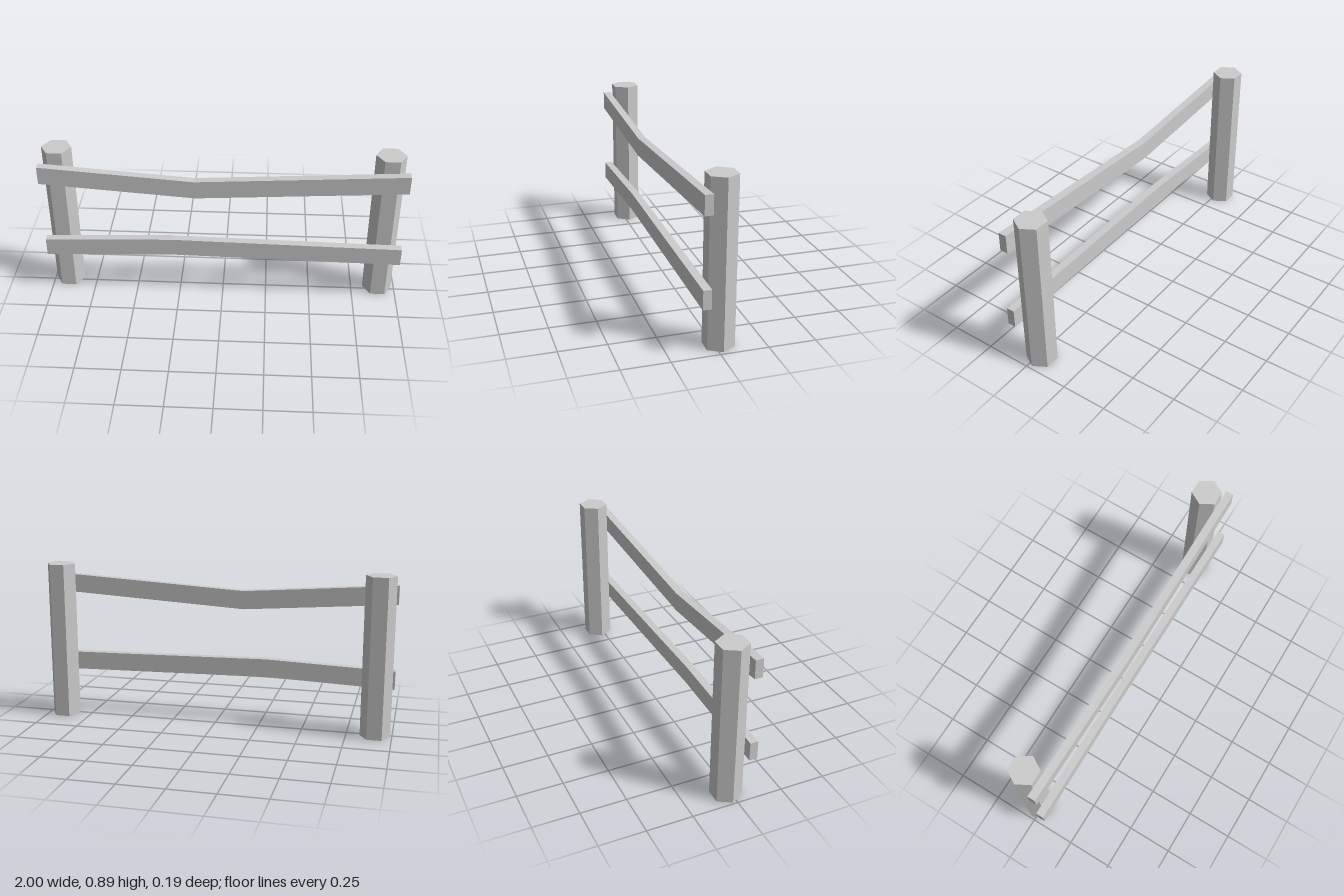
import * as THREE from 'three';

const material = new THREE.MeshStandardMaterial({
  color: 0xcccccc, flatShading: true, side: THREE.DoubleSide,
});

// Six-sided post, capped on top and open underneath
function post(name, x) {
  const radius = 0.083, height = 0.893;
  const profile = [[radius, 0], [radius, height], [0, height]].map(([r, y]) => new THREE.Vector2(r, y));
  const mesh = new THREE.Mesh(new THREE.LatheGeometry(profile, 6, Math.PI / 6), material);
  mesh.name = name;
  mesh.position.set(x, 0, -0.022);
  return mesh;
}

// Flat board with one bend along its length
function rail(name, endY, bendX, bendY) {
  const width = 0.103, thickness = 0.044;
  const shape = new THREE.Shape([
    [-1, endY], [bendX, bendY], [1, endY],
    [1, endY + width], [bendX, bendY + width], [-1, endY + width],
  ].map(([x, y]) => new THREE.Vector2(x, y)));
  const geometry = new THREE.ExtrudeGeometry(shape, { depth: thickness, bevelEnabled: false });
  const mesh = new THREE.Mesh(geometry, material);
  mesh.name = name;
  mesh.position.z = 0.051;
  return mesh;
}

export function createModel() {
  const fence = new THREE.Group();
  fence.name = 'fence';
  fence.add(
    post('rightPost', -0.908),
    post('leftPost', 0.9),
    rail('upperRail', 0.725, -0.15, 0.66),
    rail('lowerRail', 0.25, -0.29, 0.275),
  );
  return fence;
}
